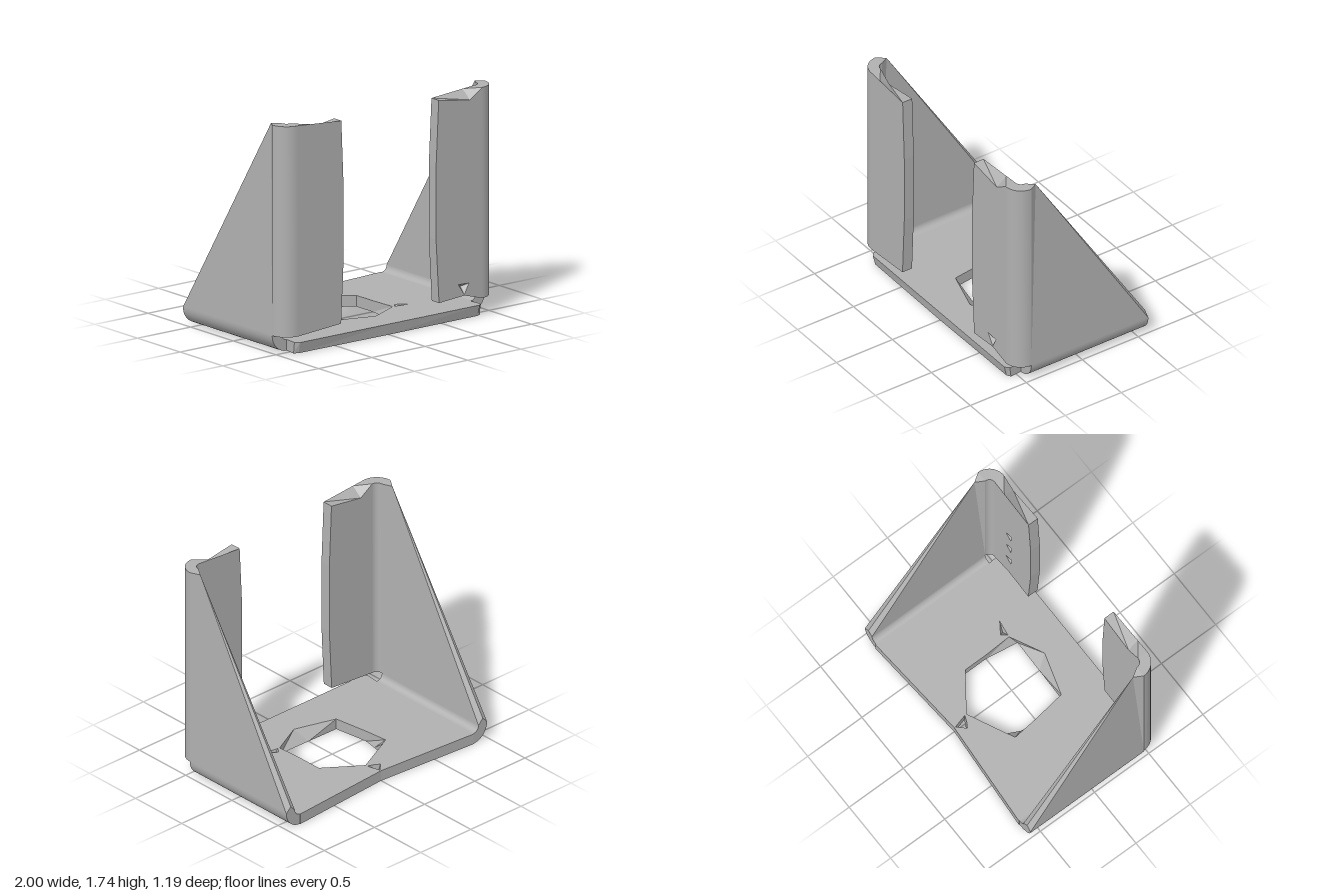
import * as THREE from 'three';
import { toCreasedNormals } from 'three/addons/utils/BufferGeometryUtils.js';

const metal = new THREE.MeshStandardMaterial({ color: 0xb0b0b0 });
metal.name = 'grey metal';

const R_OUT = 0.135, R_IN = 0.05, BEND = 0.865;
const BACK = -0.59, CORNER = 0.455, TOP = 1.735;

// Plate between ring a (at height wa) and ring b (at wb). Points are [u, v, w?].
// holes: pairs of rings cut right through; pitsA / pitsB: small pyramidal dents.
function slab(name, { a, b = a, wa, wb, place, flip = false, holes = [], pitsA = [], pitsB = [] }) {
  const pos = [];
  const lift = (ring, w) => ring.map(p => new THREE.Vector3(p[0], p[1], p[2] ?? w));
  const orient = (rings, clockwise) =>
    THREE.ShapeUtils.isClockWise(rings[0]) === clockwise ? rings : rings.map(r => r.slice().reverse());
  const tri = (p, q, r) => {
    for (const k of flip ? [p, r, q] : [p, q, r]) pos.push(...place(k.x, k.y, k.z));
  };
  const face = (ring, cuts, reversed) => {
    const all = [ring, ...cuts].flat();
    const flat = r => r.map(p => new THREE.Vector2(p.x, p.y));
    for (const [i, j, k] of THREE.ShapeUtils.triangulateShape(flat(ring), cuts.map(flat))) {
      if (reversed) tri(all[i], all[k], all[j]);
      else tri(all[i], all[j], all[k]);
    }
  };
  const rim = (ra, rb) => ra.forEach((p, i) => {
    const j = (i + 1) % ra.length;
    if (p.distanceTo(rb[i]) > 1e-6) tri(p, rb[i], rb[j]);
    if (ra[j].distanceTo(rb[j]) > 1e-6) tri(p, rb[j], ra[j]);
  });
  const dent = (ring, from, to) => {
    const apex = new THREE.Vector3();
    ring.forEach(p => apex.addScaledVector(p, 1 / ring.length));
    apex.z = from + (to - from) * 0.5;
    ring.forEach((p, i) => {
      const q = ring[(i + 1) % ring.length];
      if (from === wa) tri(p, apex, q);
      else tri(p, q, apex);
    });
  };
  const [ra, rb] = orient([lift(a, wa), lift(b, wb)], false);
  const cuts = holes.map(([p, q]) => orient([lift(p, wa), lift(q, wb)], true));
  const da = pitsA.map(p => orient([lift(p, wa)], true)[0]);
  const db = pitsB.map(p => orient([lift(p, wb)], true)[0]);
  face(ra, [...cuts.map(c => c[0]), ...da], false);
  face(rb, [...cuts.map(c => c[1]), ...db], true);
  rim(ra, rb);
  cuts.forEach(c => rim(c[0], c[1]));
  da.forEach(r => dent(r, wa, wb));
  db.forEach(r => dent(r, wb, wa));

  const g = new THREE.BufferGeometry();
  g.setAttribute('position', new THREE.Float32BufferAttribute(pos, 3));
  g.computeVertexNormals();
  const mesh = new THREE.Mesh(g, metal);
  mesh.name = name;
  return mesh;
}

// Quarter-round sheet bend, extruded along its length
function bendGeometry(side, length) {
  const start = side > 0 ? -Math.PI / 2 : Math.PI, end = start + Math.PI / 2;
  const s = new THREE.Shape();
  s.absarc(0, 0, R_OUT, start, end, false);
  s.absarc(0, 0, R_IN, end, start, true);
  const g = new THREE.ExtrudeGeometry(s, { depth: length, bevelEnabled: false, curveSegments: 10 });
  return toCreasedNormals(g, 0.5);
}

export function createModel() {
  const model = new THREE.Group();
  model.name = 'cornerBracket';

  // Base plate with a rough central opening and a small slot at the back
  const back = [[-BEND, -0.595], [0, -0.53], [BEND, -0.595]];
  const opening = [
    [[0.03, -0.393], [0.31, -0.19], [0.31, 0], [0.32, 0.22], [0.06, 0.35],
      [-0.27, 0.25], [-0.31, -0.03], [-0.33, -0.22], [-0.27, -0.25]],
    [[0.03, -0.393], [0.31, -0.19], [0.31, 0], [0.27, 0.26], [0, 0.255],
      [-0.27, 0.25], [-0.31, -0.03], [-0.29, -0.14], [-0.27, -0.25]],
  ];
  const slot = [
    [[0, -0.52], [0.03, -0.41], [-0.02, -0.43], [-0.06, -0.455]],
    [[0, -0.515], [0.03, -0.415], [-0.01, -0.435], [-0.04, -0.45]],
  ];
  model.add(slab('basePlate', {
    a: [...back, [BEND, 0.46], [0.875, 0.56], [0.845, 0.588], [0, 0.588], [-0.845, 0.588], [-0.875, 0.56], [-BEND, 0.46]],
    b: [...back, [BEND, 0.46], [0.875, 0.55], [0.84, 0.568], [0, 0.575], [-0.84, 0.568], [-0.875, 0.55], [-BEND, 0.46]],
    wa: 0.085, wb: 0, flip: true,
    place: (u, v, w) => [u, w, v],
    holes: [opening, slot],
    pitsA: [[[0.37, 0.18], [0.46, 0.24], [0.335, 0.222]]],
    pitsB: [[[0.33, -0.09], [0.41, -0.11], [0.38, -0.04]], [[-0.42, -0.11], [-0.34, -0.14], [-0.36, -0.07]]],
  }));

  for (const side of [1, -1]) {
    const label = side > 0 ? 'left' : 'right';

    // Bend from base to side wall
    const low = new THREE.Mesh(bendGeometry(side, CORNER - BACK), metal);
    low.position.set(side * BEND, R_OUT, BACK);
    low.name = label + 'BaseBend';

    // Upright bend from side wall to front flange
    const corner = new THREE.Mesh(bendGeometry(side, TOP - R_OUT).rotateX(-Math.PI / 2), metal);
    corner.position.set(side * BEND, R_OUT, CORNER);
    corner.name = label + 'CornerBend';

    // Triangular wall, thinning to a ridge along its slope
    const wall = slab(label + 'Wall', {
      a: [[CORNER, TOP], [CORNER, R_OUT], [BACK, R_OUT], [BACK, 0.18, 0.957], [0.387, 1.727, 0.957]],
      wa: 1, wb: 0.915, flip: side > 0,
      place: (u, v, w) => [side * w, v, u],
    });
    model.add(low, corner, wall);
  }

  // Front flanges
  const flange = { wa: 0.59, wb: 0.505, place: (u, v, w) => [u, v, w] };
  const leftLow = [[BEND, 0.135], [0.7, 0.183], [0.46, 0.165]];
  const leftEdge = [[0.432, 0.65], [0.432, 1.2], [0.457, 1.705]];
  model.add(slab('leftFlange', {
    ...flange,
    a: [...leftLow, ...leftEdge, [0.75, 1.66], [BEND, TOP]],
    b: [...leftLow, ...leftEdge, [0.75, 1.727], [BEND, TOP]],
    pitsA: [[[0.64, 0.275], [0.74, 0.27], [0.698, 0.19]]],
    pitsB: [0.45, 0.7, 0.94].map(y => [[0.73, y + 0.01], [0.66, y + 0.05], [0.67, y - 0.05]]),
  }));
  const rightSide = [[-BEND, 0.135], [-0.46, 0.165], [-0.437, 0.65], [-0.437, 1.2], [-0.458, 1.705]];
  model.add(slab('rightFlange', {
    ...flange,
    a: [...rightSide, [-0.75, 1.727], [-BEND, TOP]],
    b: [...rightSide, [-0.75, 1.66], [-BEND, TOP]],
  }));

  return model;
}
